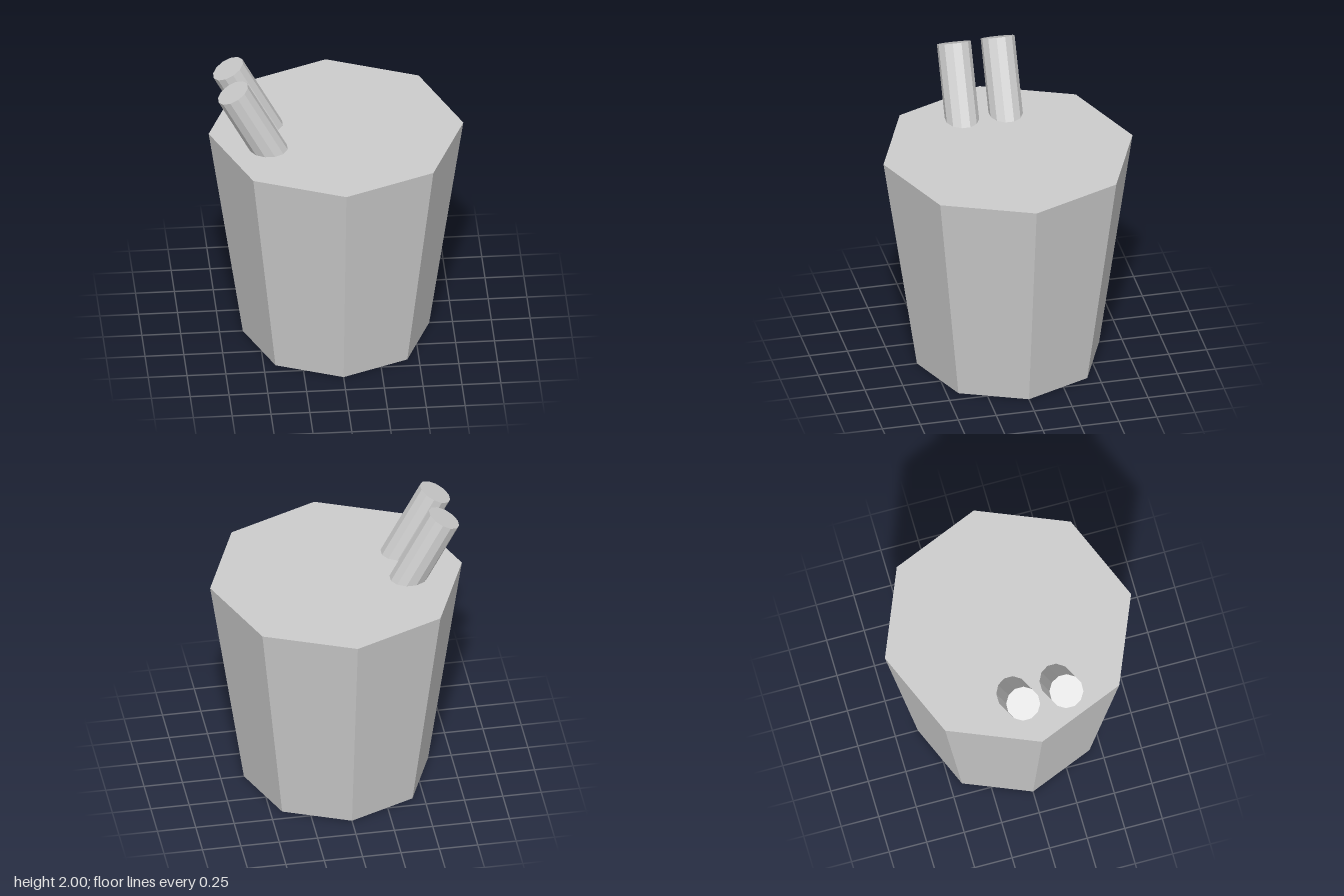
import * as THREE from 'three';

export function createModel() {
  const model = new THREE.Group();
  const grey = new THREE.MeshStandardMaterial({ color: 0xcccccc, flatShading: true });
  grey.name = 'plain grey';

  // Tapered eight-sided cup with a corner on each axis
  const cupHeight = 1.515;
  const cup = new THREE.Mesh(new THREE.CylinderGeometry(0.82, 0.6, cupHeight, 8), grey);
  cup.name = 'cup';
  cup.position.y = cupHeight / 2;
  model.add(cup);

  // Pair of straws leaning towards -x, their lower ends sunk into the cup
  const tilt = THREE.MathUtils.degToRad(28);
  const length = 0.75;
  const addStraw = (name, x, z) => {
    const geometry = new THREE.CylinderGeometry(0.11, 0.11, length, 12, 1, false, Math.PI / 12);
    geometry.translate(0, -length / 2, 0); // pivot at the top end
    const straw = new THREE.Mesh(geometry, grey);
    straw.name = name;
    straw.position.set(x, 1.948, z);
    straw.rotation.z = tilt;
    model.add(straw);
  };
  addStraw('frontStraw', -0.68, 0.2);
  addStraw('backStraw', -0.688, -0.09);

  return model;
}
